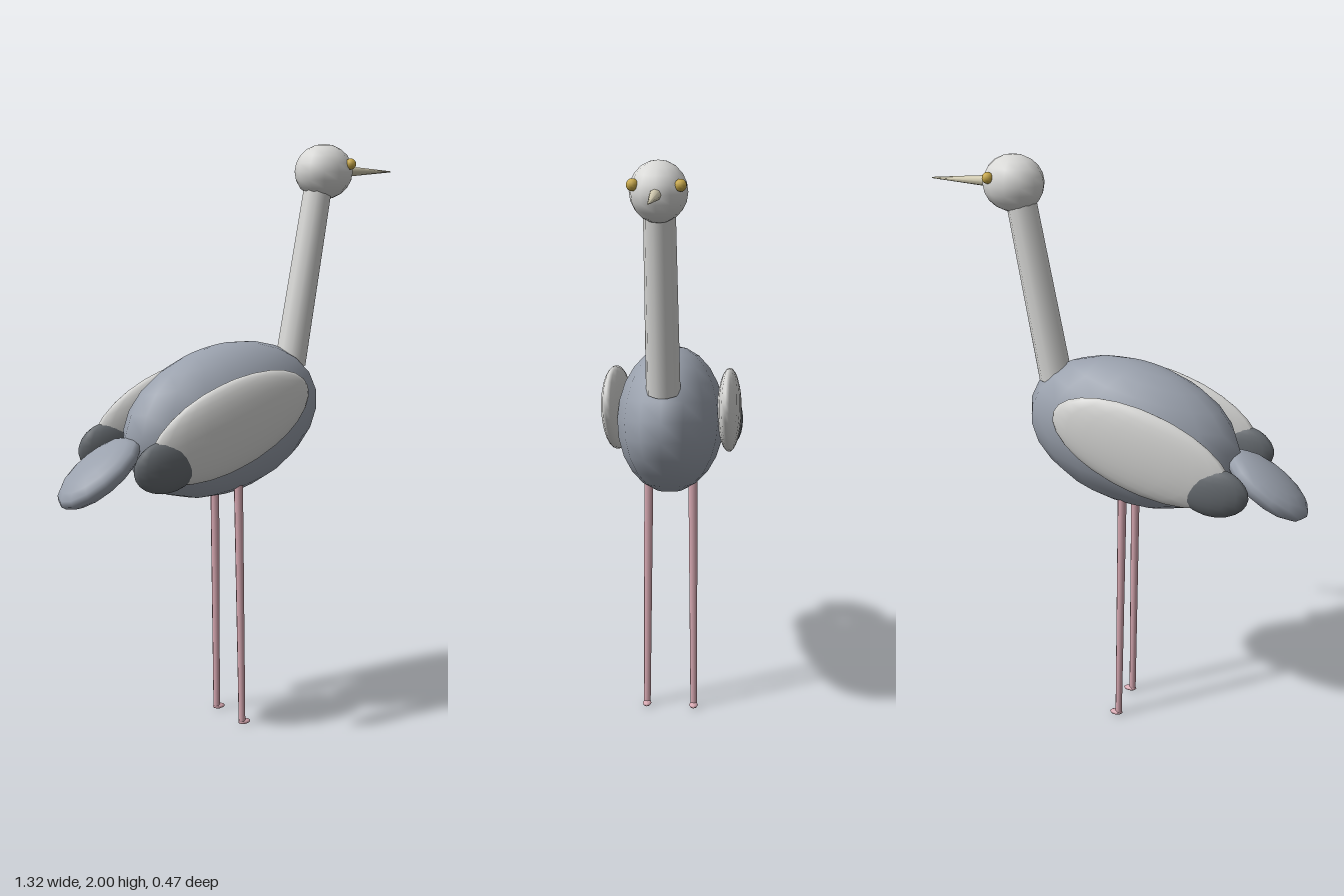
import * as THREE from 'three';

const mat = (name, color) => {
  const m = new THREE.MeshStandardMaterial({ color });
  m.name = name;
  return m;
};

export function createModel() {
  const bird = new THREE.Group();
  bird.name = 'wadingBird';

  const grey = mat('bodyGrey', 0x9aa1ad);
  const pale = mat('paleFeather', 0xd8d8d6);
  const dark = mat('darkFeather', 0x666b70);
  const pink = mat('legPink', 0xd8a9b2);
  const horn = mat('beakHorn', 0xcfc8ae);
  const gold = mat('eyeGold', 0xc8a848);

  const add = (name, geometry, material) => {
    const mesh = new THREE.Mesh(geometry, material);
    mesh.name = name;
    bird.add(mesh);
    return mesh;
  };

  // Ellipsoid with centre, half sizes and a tilt in the xy plane
  const ellipsoid = (name, material, centre, half, tilt = 0, w = 16, h = 12) => {
    const geo = new THREE.SphereGeometry(1, w, h);
    geo.scale(...half);
    geo.rotateZ(tilt);
    geo.translate(...centre);
    return add(name, geo, material);
  };

  // Tapered rod between two points
  const rod = (name, material, from, to, r0, r1, sides = 8) => {
    const a = new THREE.Vector3(...from);
    const dir = new THREE.Vector3(...to).sub(a);
    const geo = new THREE.CylinderGeometry(r1, r0, dir.length(), sides);
    geo.translate(0, dir.length() / 2, 0);
    const mesh = add(name, geo, material);
    mesh.position.copy(a);
    mesh.quaternion.setFromUnitVectors(new THREE.Vector3(0, 1, 0), dir.normalize());
    return mesh;
  };

  // Body and tail
  ellipsoid('body', grey, [-0.05, 1.08, 0], [0.38, 0.253, 0.183], 0.24);
  ellipsoid('tail', grey, [-0.52, 0.947, 0], [0.168, 0.056, 0.118], 0.62, 14, 10);

  // Neck, head and beak
  rod('neck', pale, [0.23, 1.25, 0], [0.342, 1.86, 0], 0.056, 0.05, 10);
  ellipsoid('head', pale, [0.364, 1.906, 0], [0.105, 0.094, 0.09], 0, 12, 10);
  rod('beak', horn, [0.44, 1.907, 0], [0.655, 1.905, 0], 0.02, 0.002);

  // Paired parts
  for (const [side, s] of [['left', -1], ['right', 1]]) {
    ellipsoid(side + 'Wing', pale, [-0.135, 1.092, s * 0.197], [0.322, 0.145, 0.04], 0.345, 20, 14);
    ellipsoid(side + 'WingTip', dark, [-0.378, 0.987, s * 0.197], [0.12, 0.087, 0.037], 0.1, 16, 12);
    ellipsoid(side + 'Eye', gold, [0.425, 1.932, s * 0.072], [0.019, 0.019, 0.019], 0, 10, 8);
    rod(side + 'Leg', pink, [-0.022, 0.008, s * 0.085], [-0.033, 0.9, s * 0.077], 0.012, 0.016);
    ellipsoid(side + 'Foot', pink, [-0.013, 0.009, s * 0.085], [0.024, 0.009, 0.016], 0, 8, 6);
  }
  return bird;
}
